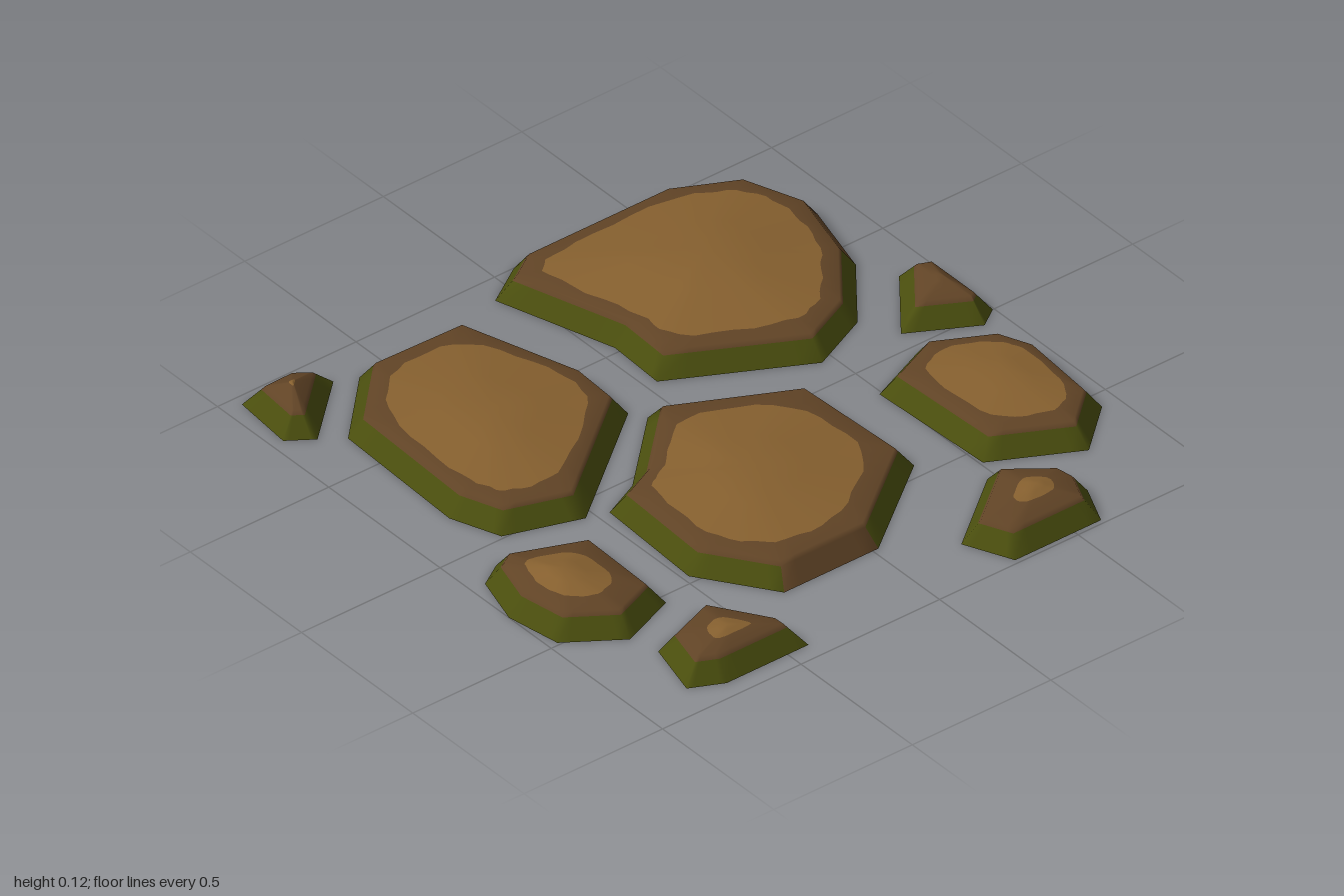
import * as THREE from 'three';

const moss = new THREE.MeshStandardMaterial({ color: 0x4a4e0e, side: THREE.DoubleSide });
moss.name = 'moss';
const earth = new THREE.MeshStandardMaterial({ color: 0x614426, side: THREE.DoubleSide });
earth.name = 'earthBrown';
const worn = new THREE.MeshStandardMaterial({ color: 0x86602f, side: THREE.DoubleSide });
worn.name = 'wornTan';

// Each stone: ground corners [x, z], peak height, worn patch size, edge without moss
const STONES = [
  { name: 'backLeftSlab', height: 0.11, patch: 0.87, corners: [[-0.6, -0.86], [-0.24, -0.85],
    [-0.11, -0.43], [-0.12, -0.25], [-0.53, 0.07], [-0.77, -0.01], [-0.83, -0.17], [-0.81, -0.65]] },
  { name: 'backRightSlab', height: 0.125, patch: 0.88, bare: 4, corners: [[-0.07, -0.91], [0.07, -1], [0.6, -1],
    [0.82, -0.89], [0.9, -0.67], [0.83, -0.41], [0.66, -0.19], [0.46, -0.1], [0.04, -0.32], [0.05, -0.52]] },
  { name: 'centreSlab', height: 0.12, patch: 0.85, bare: 3, corners: [[-0.09, -0.2], [0.33, 0.01],
    [0.35, 0.45], [0.02, 0.7], [-0.32, 0.7], [-0.48, 0.47], [-0.46, 0.09], [-0.33, 0.03]] },
  { name: 'leftStone', height: 0.112, patch: 0.66, corners: [[-0.87, 0.09], [-0.6, 0.2],
    [-0.61, 0.53], [-0.8, 0.605], [-0.97, 0.49], [-1, 0.31], [-0.95, 0.14]] },
  { name: 'rightStone', height: 0.095, patch: 0.82, corners: [[0.7, 0.03], [0.91, 0.14],
    [0.965, 0.27], [0.94, 0.56], [0.78, 0.7], [0.51, 0.56], [0.49, 0.12]] },
  { name: 'frontLeftPebble', height: 0.095, patch: 0.45, corners: [[-0.57, 0.625],
    [-0.43, 0.84], [-0.425, 0.94], [-0.72, 0.94], [-0.825, 0.89], [-0.775, 0.7]] },
  { name: 'frontRightPebble', height: 0.1, patch: 0.45, corners: [[0.47, 0.63],
    [0.64, 0.76], [0.655, 0.85], [0.595, 0.985], [0.285, 0.985], [0.215, 0.83]] },
  { name: 'backLeftPebble', height: 0.1, patch: 0.16, corners: [[-0.94, -0.965],
    [-0.78, -0.97], [-0.67, -0.89], [-0.88, -0.7], [-0.96, -0.755]] },
  { name: 'rightPebble', height: 0.095, patch: 0, corners: [[0.89, -0.29],
    [0.995, -0.245], [0.995, 0], [0.93, 0.045], [0.72, -0.07]] },
];

const SHOULDER = 0.07;
const INSET = 0.05;
const STEPS = 6; // points per outline edge

// Moves each corner inwards by a mitred distance
function insetCorners(points, distance) {
  const n = points.length;
  const normal = (a, b) => new THREE.Vector2(a[1] - b[1], b[0] - a[0]).normalize();
  return points.map((p, i) => {
    const before = normal(points[(i + n - 1) % n], p);
    const after = normal(p, points[(i + 1) % n]);
    const miter = before.clone().add(after).normalize();
    const length = Math.min(distance / Math.max(miter.dot(after), 0.3), distance * 1.6);
    return [p[0] + miter.x * length, p[1] + miter.y * length];
  });
}

// Splits each edge into equal steps at one height
function ringFrom(points, y) {
  return points.flatMap((p, i) => {
    const q = points[(i + 1) % points.length];
    return Array.from({ length: STEPS }, (_, k) => {
      const t = k / STEPS;
      return new THREE.Vector3(p[0] + (q[0] - p[0]) * t, y, p[1] + (q[1] - p[1]) * t);
    });
  });
}

// Rounds the corners of a ring by averaging neighbours
function soften(ring, passes) {
  const n = ring.length;
  for (let s = 0; s < passes; s++) {
    const last = ring;
    ring = last.map((p, i) => p.clone().multiplyScalar(2).add(last[(i + 1) % n]).add(last[(i + n - 1) % n]).divideScalar(4));
  }
  return ring;
}

function makeStone({ name, height, patch, corners, bare }) {
  // The peak stands over the average of the corners
  const mean = (axis) => corners.reduce((sum, c) => sum + c[axis], 0) / corners.length;
  const apex = new THREE.Vector3(mean(0), height, mean(1));
  const base = ringFrom(corners, 0);
  const shoulder = ringFrom(insetCorners(corners, INSET), SHOULDER);
  const mossLine = base.map((p, i) => p.clone().lerp(shoulder[i], 0.82));
  // A slightly ragged patch border lying on the sloping top
  const size = patch || 0.5;
  const soft = soften(shoulder, 5);
  const border = soft.map((p, i) => apex.clone().lerp(p, size * (1 + 0.014 * Math.sin(i * 1.9) + 0.01 * Math.sin(i * 0.7))));
  const inner = soft.map((p) => apex.clone().lerp(p, size * 0.5));

  const rings = [base, mossLine, shoulder, border, inner];
  const n = base.length;
  const faces = [[], [], []]; // moss, earth, worn
  const top = patch ? 2 : 1;
  for (let i = 0; i < n; i++) {
    const j = (i + 1) % n;
    const foot = Math.floor(i / STEPS) === bare ? 1 : 0;
    [foot, 1, 1, top].forEach((slot, r) => {
      const a = r * n;
      const b = a + n;
      faces[slot].push(a + j, a + i, b + i, a + j, b + i, b + j);
    });
    faces[top].push(4 * n + j, 4 * n + i, 5 * n);
  }

  const geometry = new THREE.BufferGeometry().setFromPoints([...rings.flat(), apex]);
  geometry.setIndex(faces.flat());
  let start = 0;
  faces.forEach((list, slot) => {
    geometry.addGroup(start, list.length, slot);
    start += list.length;
  });
  geometry.computeVertexNormals();
  const stone = new THREE.Mesh(geometry, [moss, earth, worn]);
  stone.name = name;
  return stone;
}

export function createModel() {
  const group = new THREE.Group();
  group.name = 'steppingStones';
  STONES.forEach((spec) => group.add(makeStone(spec)));
  return group;
}
